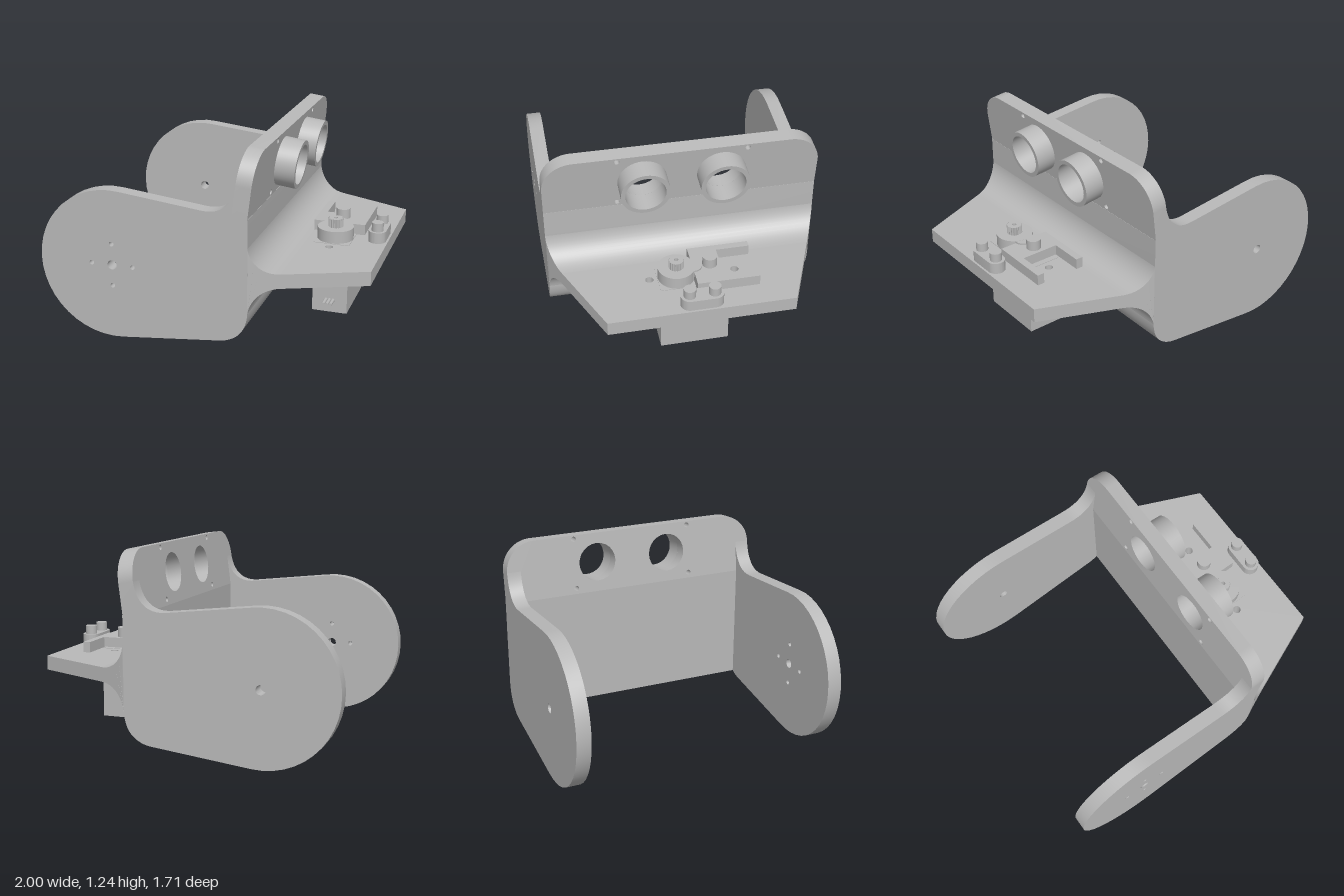
import * as THREE from 'three';
import { toCreasedNormals } from 'three/addons/utils/BufferGeometryUtils.js';

export function createModel() {
  const model = new THREE.Group();
  model.name = 'sensorBracket';
  const grey = new THREE.MeshStandardMaterial({ color: 0xb8b8b8 });
  grey.name = 'plainGrey';

  const add = (name, geometry, parent = model) => {
    const mesh = new THREE.Mesh(geometry, grey);
    mesh.name = name;
    parent.add(mesh);
    return mesh;
  };
  const box = (name, x0, x1, y0, y1, z0, z1) =>
    add(name, new THREE.BoxGeometry(x1 - x0, y1 - y0, z1 - z0)
      .translate((x0 + x1) / 2, (y0 + y1) / 2, (z0 + z1) / 2));
  const post = (name, x, z, r, y0, y1) =>
    add(name, new THREE.CylinderGeometry(r, r, y1 - y0, 28).translate(x, (y0 + y1) / 2, z));
  const polygon = (points) => new THREE.Shape(points.map((p) => new THREE.Vector2(...p)));
  const hole = (shape, x, y, r) =>
    shape.holes.push(new THREE.Path().absarc(x, y, r, 0, Math.PI * 2, true));
  const extrude = (shape, depth, z = 0, curveSegments = 12) =>
    new THREE.ExtrudeGeometry(shape, { depth, bevelEnabled: false, curveSegments }).translate(0, 0, z);
  const smooth = (geometry) => toCreasedNormals(geometry, 0.5);
  // Horizontal plate from a shape in x and z
  const slab = (shape, top, depth) =>
    smooth(extrude(shape, depth).rotateX(Math.PI / 2).translate(0, top, 0));

  // Side arms: only the front one has the ring of screw holes
  const cx = -0.526, cy = 0.474, r = 0.474, a = THREE.MathUtils.degToRad(83);
  for (const front of [true, false]) {
    const arm = new THREE.Shape();
    arm.absarc(cx, cy, r, a, Math.PI * 2 - a, false);
    arm.lineTo(0.16, 0.076);
    arm.quadraticCurveTo(0.2, 0.081, 0.235, 0.1);
    arm.lineTo(0.235, 0.86);
    arm.lineTo(0.262, 1.07);
    arm.bezierCurveTo(0.245, 0.95, 0.18, 0.872, 0.05, 0.887);
    hole(arm, cx, cy, 0.03);
    if (front) {
      for (const [dx, dy] of [[1, 0], [-1, 0], [0, 1], [0, -1]])
        hole(arm, cx + dx * 0.134, cy + dy * 0.134, 0.015);
    }
    add(front ? 'frontArm' : 'rearArm', smooth(extrude(arm, 0.09, front ? 0.765 : -0.855)));
  }

  // Upright wall with a rounded lower edge
  const wall = new THREE.Shape();
  wall.moveTo(0.235, 0.1);
  wall.bezierCurveTo(0.29, 0.13, 0.325, 0.18, 0.332, 0.27);
  wall.lineTo(0.332, 0.86);
  wall.lineTo(0.235, 0.86);
  add('wall', smooth(extrude(wall, 1.71, -0.855)));

  // Tilted sensor panel, rounded at the top
  const head = new THREE.Group();
  head.name = 'sensorHead';
  head.position.set(0.235, 0.86, 0);
  head.rotation.z = -0.125;
  model.add(head);
  const w = 0.855, h = 0.388, c = 0.19;
  const panel = new THREE.Shape();
  panel.moveTo(-w, 0);
  panel.lineTo(w, 0);
  panel.lineTo(w, h - c);
  panel.absarc(w - c, h - c, c, 0, Math.PI / 2, false);
  panel.absarc(c - w, h - c, c, Math.PI / 2, Math.PI, false);
  for (const s of [-1, 1]) {
    hole(panel, s * 0.245, 0.195, 0.125);
    for (const v of [0.037, 0.363]) hole(panel, s * 0.4, v, 0.017);
  }
  add('sensorPanel', smooth(extrude(panel, 0.095).rotateY(Math.PI / 2)), head);

  // Two open sensor tubes
  for (const s of [-1, 1]) {
    const ring = new THREE.Shape().absarc(s * 0.245, 0.195, 0.152, 0, Math.PI * 2, false);
    hole(ring, s * 0.245, 0.195, 0.125);
    add('sensorTube', smooth(extrude(ring, 0.132, 0.09, 20).rotateY(Math.PI / 2)), head);
  }

  // Flared root of the shelf, tapering in z along x
  const taper = (x) => Math.min(0.855, 0.855 - 0.424 * (x - 0.335));
  const root = new THREE.Shape();
  root.moveTo(0.33, 0.26);
  root.bezierCurveTo(0.34, 0.36, 0.41, 0.43, 0.51, 0.43);
  root.lineTo(0.51, 0.52);
  root.bezierCurveTo(0.41, 0.52, 0.332, 0.6, 0.33, 0.71);
  const rootGeometry = extrude(root, 2, -1);
  const p = rootGeometry.attributes.position;
  for (let i = 0; i < p.count; i++) p.setZ(i, p.getZ(i) * taper(p.getX(i)));
  rootGeometry.computeVertexNormals();
  add('shelfRoot', smooth(rootGeometry));

  // Shelf plate with two screw holes
  const z0 = taper(0.51), z1 = taper(1);
  const shelf = polygon([[0.51, -z0], [1, -z1], [1, z1], [0.51, z0]]);
  for (const s of [-1, 1]) hole(shelf, 0.672, s * 0.266, 0.025);
  add('shelf', slab(shelf, 0.52, 0.09));

  // Servo body and its slotted mounting ears
  box('servoBody', 0.56, 0.785, 0.06, 0.523, -0.212, 0.217);
  for (const s of [-1, 1]) {
    const ear = new THREE.Shape();
    ear.moveTo(0.56, 0.2);
    ear.lineTo(0.785, 0.2);
    ear.lineTo(0.785, 0.305);
    ear.lineTo(0.685, 0.305);
    ear.lineTo(0.685, 0.287);
    ear.absarc(0.672, 0.266, 0.025, 1.02, Math.PI - 1.02, true);
    ear.lineTo(0.659, 0.305);
    ear.lineTo(0.56, 0.305);
    const g = extrude(ear, 0.045).rotateX(Math.PI / 2).translate(0, 0.43, 0);
    if (s < 0) g.translate(-0.672, 0, 0).rotateY(Math.PI).translate(0.672, 0, 0);
    add('servoEar', smooth(g));
  }

  // Servo gear housing, output shaft and cable
  post('gearHousing', 0.672, 0.1, 0.114, 0.52, 0.6);
  post('idlerHousing', 0.672, 0, 0.06, 0.52, 0.599);
  const shaft = new THREE.Shape();
  for (let i = 0; i < 40; i++) {
    const t = (i / 40) * Math.PI * 2, q = i % 2 ? 0.042 : 0.048;
    const x = 0.672 + q * Math.cos(t), z = 0.1 + q * Math.sin(t);
    if (i) shaft.lineTo(x, z); else shaft.moveTo(x, z);
  }
  hole(shaft, 0.672, 0.1, 0.013);
  add('outputShaft', slab(shaft, 0.655, 0.055));
  for (const x of [0.649, 0.672, 0.695])
    add('cableWire', new THREE.CylinderGeometry(0.011, 0.011, 0.09, 12)
      .rotateX(Math.PI / 2).translate(x, 0.142, 0.25));

  // Forked bracket with its post
  const fork = polygon([[0.507, 0], [0.507, -0.385], [0.552, -0.385], [0.552, -0.175],
    [0.792, -0.175], [0.792, -0.385], [0.838, -0.385], [0.838, 0]]);
  add('fork', slab(fork, 0.588, 0.07));
  post('forkPost', 0.672, -0.108, 0.045, 0.58, 0.652);

  // Rounded base with two small posts
  const pill = new THREE.Shape();
  pill.absarc(0.932, 0.07, 0.055, 0, Math.PI, false);
  pill.absarc(0.932, -0.082, 0.055, Math.PI, Math.PI * 2, false);
  add('pillBase', slab(pill, 0.59, 0.072));
  for (const z of [-0.082, 0.07]) post('pillPost', 0.932, z, 0.037, 0.58, 0.645);

  return model;
}
